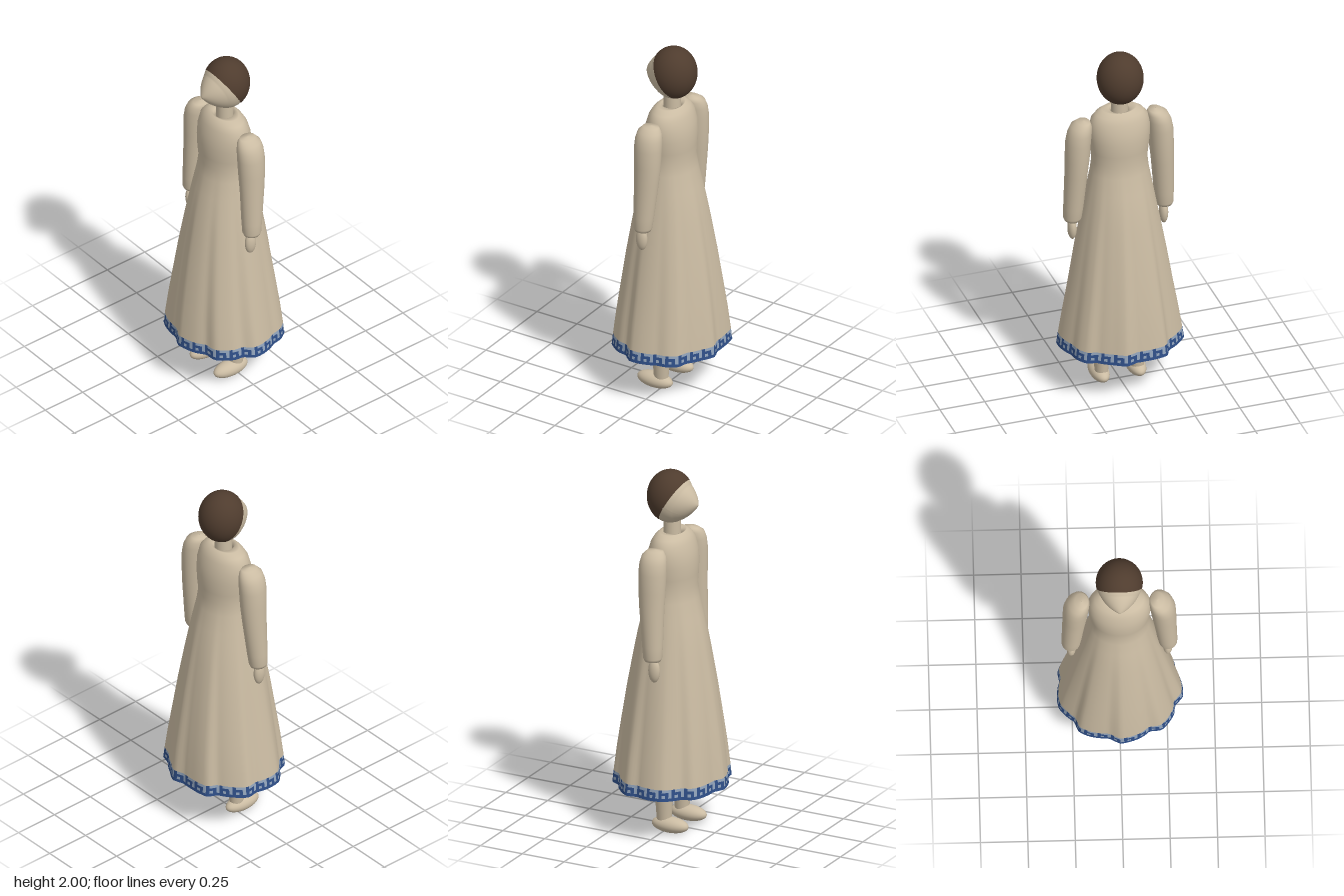
import * as THREE from 'three';

// Hem outline (x, z), giving the irregular folds of the skirt
const HEM = [
  [0.335, 0], [0.335, 0.05], [0.29, 0.1], [0.285, 0.15], [0.22, 0.235], [0.155, 0.24], [0.11, 0.275],
  [0, 0.307], [-0.06, 0.275], [-0.17, 0.26], [-0.22, 0.235], [-0.24, 0.18], [-0.32, 0.105], [-0.33, 0.06],
  [-0.315, -0.05], [-0.325, -0.11], [-0.2, -0.22], [-0.175, -0.272], [-0.06, -0.287], [0, -0.287],
  [0.06, -0.307], [0.125, -0.27], [0.2, -0.22], [0.255, -0.205], [0.29, -0.155], [0.3, -0.1],
];
const HEM_X = 0.325, HEM_Z = 0.295;

// Fold factor at an angle: hem radius relative to the plain ellipse
const foldKeys = HEM.map(([x, z]) => {
  const u = x / HEM_X, v = z / HEM_Z;
  return { a: (Math.atan2(v, u) + Math.PI * 2) % (Math.PI * 2), k: Math.hypot(u, v) };
});
function fold(a) {
  const n = foldKeys.length;
  for (let i = 0; i < n; i++) {
    const p = foldKeys[i], q = foldKeys[(i + 1) % n];
    const end = i === n - 1 ? Math.PI * 2 : q.a;
    if (a <= end) return THREE.MathUtils.lerp(p.k, q.k, (a - p.a) / (end - p.a));
  }
  return foldKeys[0].k;
}

// Skin a stack of elliptical sections [y, cx, rx, cz, rz], listed from top to bottom
function loft(sections, segments, scaleAt = () => 1, materialAt = () => 0) {
  const positions = [], lists = [];
  for (const [y, cx, rx, cz, rz] of sections) {
    for (let j = 0; j < segments; j++) {
      const a = (j / segments) * Math.PI * 2, k = scaleAt(y, a);
      positions.push(cx + rx * k * Math.cos(a), y, cz + rz * k * Math.sin(a));
    }
  }
  for (let i = 0; i < sections.length - 1; i++) {
    for (let j = 0; j < segments; j++) {
      const j2 = (j + 1) % segments;
      const a = i * segments + j, b = i * segments + j2, c = a + segments, d = b + segments;
      (lists[materialAt(i, j)] ??= []).push(c, a, b, c, b, d);
    }
  }
  const geometry = new THREE.BufferGeometry();
  geometry.setAttribute('position', new THREE.Float32BufferAttribute(positions, 3));
  geometry.setIndex(lists.flat());
  let start = 0;
  lists.forEach((list, m) => {
    geometry.addGroup(start, list.length, m);
    start += list.length;
  });
  geometry.computeVertexNormals();
  return geometry;
}

export function createModel() {
  const model = new THREE.Group();
  const material = (name, color, side = THREE.FrontSide) => {
    const m = new THREE.MeshStandardMaterial({ color, side });
    m.name = name;
    return m;
  };
  const cream = material('cream', 0xcbbca3, THREE.DoubleSide);
  const paleBlue = material('paleBlue', 0x93a5bc, THREE.DoubleSide);
  const blue = material('blue', 0x2f4f88, THREE.DoubleSide);
  const brown = material('hairBrown', 0x4f3c2e);

  const add = (name, geometry, mat, parent = model) => {
    const mesh = new THREE.Mesh(geometry, mat);
    mesh.name = name;
    parent.add(mesh);
    return mesh;
  };

  // Dress: bodice and flared skirt in one skin, with a patterned hem
  const dressProfile = [
    [1.64, 0.05, 0.05], [1.662, 0.055, 0.055], [1.667, 0.095, 0.065], [1.645, 0.13, 0.088],
    [1.615, 0.155, 0.105], [1.56, 0.166, 0.122], [1.5, 0.165, 0.13], [1.43, 0.158, 0.13],
    [1.37, 0.15, 0.125], [1.3, 0.158, 0.135], [1.2, 0.176, 0.16], [1.1, 0.193, 0.182],
    [1.0, 0.211, 0.2], [0.8, 0.244, 0.233], [0.6, 0.274, 0.26], [0.45, 0.298, 0.278],
    [0.317, 0.317, 0.29], [0.302, 0.319, 0.291], [0.287, 0.321, 0.292], [0.271, 0.323, 0.293],
    [0.255, HEM_X, HEM_Z],
  ];
  const hemPattern = ['..#.', '###.', '#.#.', '####'];
  const firstHemRow = dressProfile.length - 1 - hemPattern.length;
  const foldedRadius = (y, a) => {
    const t = THREE.MathUtils.clamp((1.37 - y) / (1.37 - 0.255), 0, 1);
    return 1 + (fold(a) - 1) * t;
  };
  const hemMaterial = (i, j) =>
    i < firstHemRow ? 0 : hemPattern[i - firstHemRow][j % 4] === '#' ? 2 : 1;
  add('dress',
    loft(dressProfile.map(([y, rx, rz]) => [y, 0, rx, 0, rz]), 112, foldedRadius, hemMaterial),
    [cream, paleBlue, blue]);

  // Neck
  const neck = add('neck', new THREE.CylinderGeometry(0.045, 0.047, 0.17, 24), cream);
  neck.position.set(0, 1.67, -0.005);

  // Head: a tilted ball whose pole lies at the back, so the hairline is one ring
  const hairline = 1.8, tilt = 0.973;
  const head = new THREE.Group();
  head.name = 'head';
  head.position.set(0, 1.855, -0.015);
  model.add(head);

  const face = new THREE.SphereGeometry(1, 64, 40, 0, Math.PI * 2, hairline, Math.PI - hairline);
  face.rotateX(-tilt).scale(0.122, 0.144, 0.124);
  const p = face.attributes.position;
  for (let i = 0; i < p.count; i++) {
    // Pull the front out into a pointed nose
    const d = Math.hypot(p.getX(i), p.getY(i) + 0.025);
    if (p.getZ(i) > 0) p.setZ(i, p.getZ(i) + 0.045 * Math.max(0, 1 - d / 0.1));
  }
  face.computeVertexNormals();
  add('face', face, cream, head);

  const hair = new THREE.SphereGeometry(1, 64, 32, 0, Math.PI * 2, 0, hairline);
  hair.rotateX(-tilt).scale(0.124, 0.145, 0.126);
  add('hair', hair, brown, head);

  // Limbs, mirrored
  for (const s of [1, -1]) {
    const side = s > 0 ? 'left' : 'right';
    const mirrored = (sections) => sections.map(([y, cx, ...rest]) => [y, s * cx, ...rest]);

    add(side + 'Sleeve', loft(mirrored([
      [1.623, 0.2, 0.001, 0, 0.001], [1.617, 0.2, 0.035, 0, 0.045], [1.595, 0.212, 0.055, 0, 0.066],
      [1.555, 0.222, 0.064, 0, 0.075], [1.5, 0.23, 0.067, 0, 0.077], [1.4, 0.235, 0.065, 0, 0.074],
      [1.3, 0.241, 0.06, 0.002, 0.068], [1.1, 0.252, 0.053, 0.012, 0.056],
      [1.035, 0.256, 0.049, 0.015, 0.051], [1.018, 0.256, 0.042, 0.015, 0.044],
      [1.013, 0.256, 0.001, 0.015, 0.001],
    ]), 32), cream);

    const hand = add(side + 'Hand', new THREE.SphereGeometry(1, 24, 16), cream);
    hand.scale.set(0.024, 0.065, 0.033);
    hand.position.set(s * 0.255, 0.96, 0.023);

    add(side + 'Leg', loft(mirrored([
      [1.0, 0.09, 0.07, 0, 0.075], [0.6, 0.095, 0.064, 0, 0.07], [0.25, 0.1, 0.05, 0, 0.058],
      [0.15, 0.1, 0.041, 0, 0.046], [0.04, 0.1, 0.034, 0, 0.038],
    ]), 28), cream);

    const foot = add(side + 'Foot', new THREE.SphereGeometry(1, 32, 20), cream);
    foot.scale.set(0.05, 0.043, 0.107);
    foot.position.set(s * 0.102, 0.043, 0.037);
  }
  return model;
}
